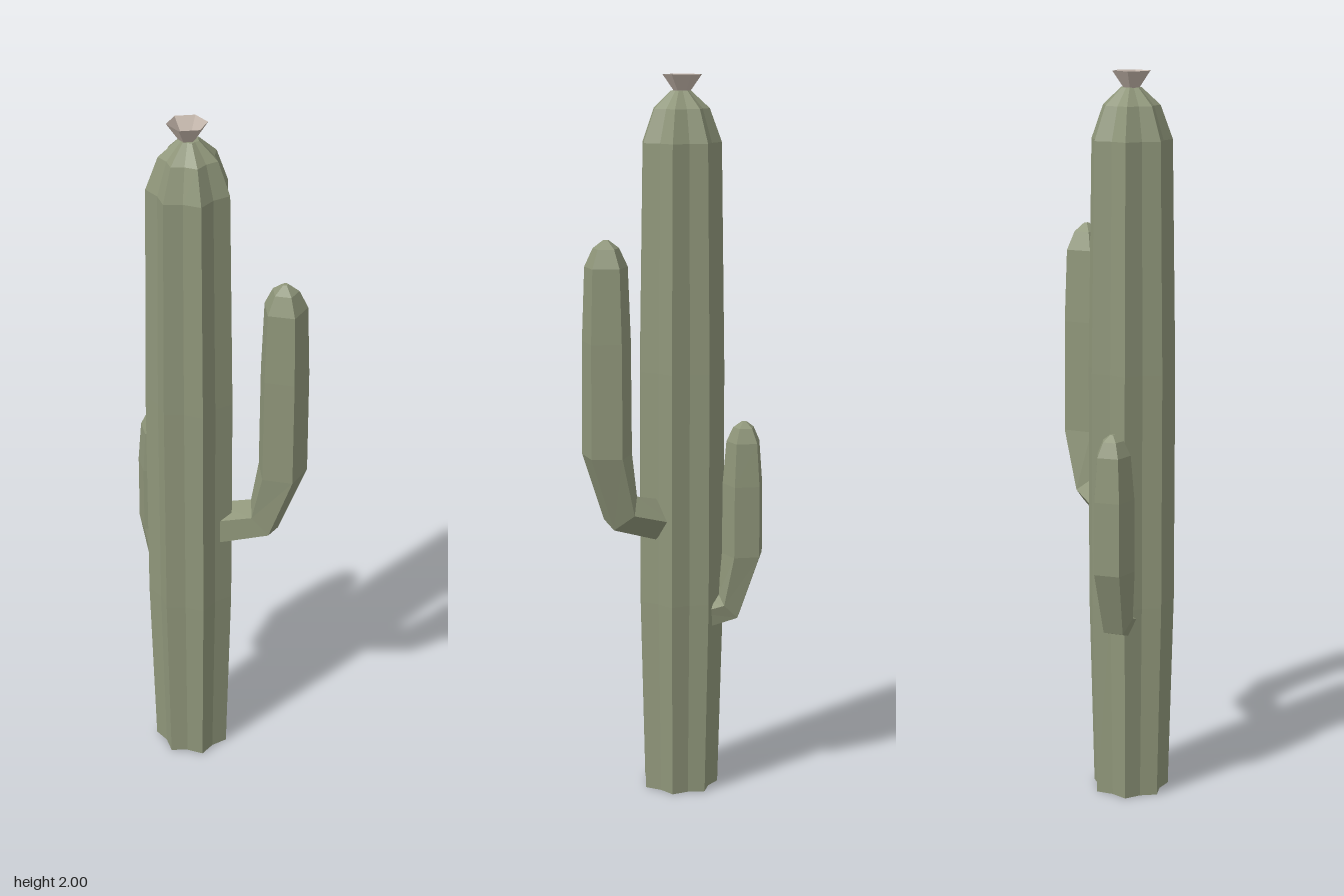
import * as THREE from 'three';

const CX = -0.053, CZ = 0.016; // trunk axis

const green = new THREE.MeshStandardMaterial({ color: 0x8f967a, flatShading: true, side: THREE.DoubleSide });
green.name = 'cactusGreen';
const pink = new THREE.MeshStandardMaterial({ color: 0xc4b6ab, flatShading: true, side: THREE.DoubleSide });
pink.name = 'flowerPink';

// Skin a stack of equal-length rings, closing the top with a fan
function loft(rings) {
  const n = rings[0].length, pos = [], idx = [];
  rings.forEach(r => r.forEach(p => pos.push(p.x, p.y, p.z)));
  for (let i = 0; i < rings.length - 1; i++) {
    for (let j = 0; j < n; j++) {
      const a = i * n + j, b = i * n + (j + 1) % n;
      idx.push(a, a + n, b, b, a + n, b + n);
    }
  }
  const top = rings[rings.length - 1];
  const c = top.reduce((s, p) => s.add(p), new THREE.Vector3()).divideScalar(n);
  pos.push(c.x, c.y, c.z);
  const base = (rings.length - 1) * n;
  for (let j = 0; j < n; j++) idx.push(base + j, rings.length * n, base + (j + 1) % n);
  const g = new THREE.BufferGeometry();
  g.setAttribute('position', new THREE.Float32BufferAttribute(pos, 3));
  g.setIndex(idx);
  g.computeVertexNormals();
  return g;
}

function part(name, geometry, material) {
  const m = new THREE.Mesh(geometry, material);
  m.name = name;
  return m;
}

// Seven-ribbed star column, open at the bottom
function trunkGeometry() {
  const profile = [[0, 0.108], [0.55, 0.122], [1.2, 0.122], [1.82, 0.112], [1.91, 0.079], [1.957, 0.028]];
  return loft(profile.map(([y, r]) => Array.from({ length: 14 }, (_, k) => {
    const a = k * Math.PI / 7, rr = k % 2 ? r * 0.82 : r;
    return new THREE.Vector3(CX + rr * Math.cos(a), y, CZ + rr * Math.sin(a));
  })));
}

// Five-sided arm bending up; each station is [distance from trunk axis, height, radius, tilt in degrees]
function armGeometry(heading, spin, stations) {
  const h = THREE.MathUtils.degToRad(heading), s = THREE.MathUtils.degToRad(spin);
  const out = new THREE.Vector3(Math.cos(h), 0, Math.sin(h));
  const side = new THREE.Vector3(-Math.sin(h), 0, Math.cos(h));
  return loft(stations.map(([d, y, r, tilt]) => {
    const t = THREE.MathUtils.degToRad(tilt);
    const u = out.clone().multiplyScalar(Math.cos(t)).add(new THREE.Vector3(0, -Math.sin(t), 0));
    return Array.from({ length: 5 }, (_, k) => {
      const a = s + k * Math.PI * 0.4;
      return new THREE.Vector3(CX, y, CZ).addScaledVector(out, d)
        .addScaledVector(u, r * Math.cos(a)).addScaledVector(side, r * Math.sin(a));
    });
  }));
}

export function createModel() {
  const group = new THREE.Group();
  group.name = 'cactus';

  group.add(part('trunk', trunkGeometry(), green));

  group.add(part('tallArm', armGeometry(-10.7, 54.7, [
    [0.07, 0.785, 0.06, 76], [0.205, 0.825, 0.06, 47], [0.253, 0.99, 0.071, 0],
    [0.253, 1.3, 0.069, 0], [0.253, 1.5, 0.061, 0], [0.253, 1.55, 0.037, 0], [0.253, 1.572, 0.008, 0],
  ]), green));

  group.add(part('shortArm', armGeometry(214.2, -34, [
    [0.06, 0.5, 0.045, 78], [0.14, 0.527, 0.046, 47], [0.178, 0.68, 0.06, 0],
    [0.178, 0.88, 0.059, 0], [0.178, 1.0, 0.049, 0], [0.178, 1.04, 0.03, 0], [0.178, 1.057, 0.007, 0],
  ]), green));

  // Six-sided open cup on the tip
  const flower = part('flower', new THREE.CylinderGeometry(0.053, 0.021, 0.046, 6, 1, true), pink);
  flower.position.set(CX - 0.005, 1.977, CZ);
  group.add(flower);

  return group;
}
